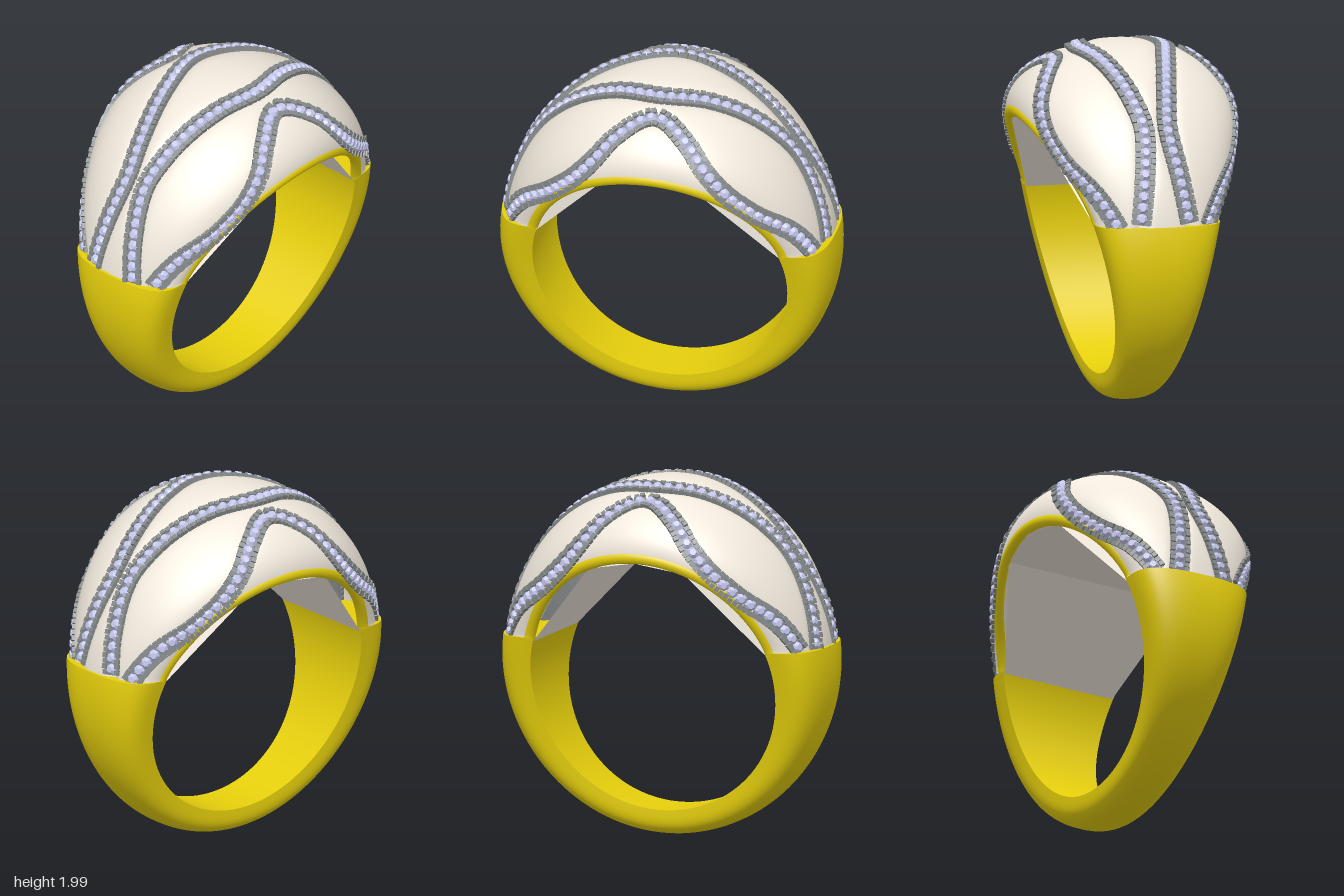
import * as THREE from 'three';
import { mergeGeometries } from 'three/addons/utils/BufferGeometryUtils.js';
import { ParametricGeometry } from 'three/addons/geometries/ParametricGeometry.js';

const { sin, cos, abs, sign, pow, max, PI } = Math;
const mat = (color, flatShading = false) =>
  new THREE.MeshStandardMaterial({ color, flatShading, side: THREE.DoubleSide });
const gold = mat(0xe6cf0c), enamel = mat(0xf0e8dc);
const metal = mat(0x868a8a, true), stone = mat(0xc6c8ee, true);

// Smooth function of u through [u, value] pairs, mirrored about u = 0
function evenCurve(pairs) {
  const all = [...pairs.slice(1).reverse().map(([u, v]) => [-u, v]), ...pairs];
  const f = new THREE.CubicInterpolant(all.map(p => p[0]), all.map(p => p[1]), 1, [0]);
  return u => f.evaluate(u)[0];
}
// Angle across the dome at which each gem line runs, for u from end to end
const innerLine = evenCurve([[0, 0.41], [0.2, 0.32], [0.49, 0.18], [0.62, 0.14], [0.82, 0.25], [1, 0.41]]);
const outerLine = evenCurve([[0, 0.7], [0.17, 0.95], [0.29, 1.22], [0.42, 1.4], [0.53, 1.46],
  [0.69, 1.4], [0.86, 1.08], [1, 0.82]]);

// Dome: u runs along the finger arch, t across it
const rimY = u => 0.88 + 0.755 * cos(u * 1.275);
const domeWidth = u => 0.35 + 0.25 * pow(max(0, (rimY(u) - 1.1) / 0.535), 1.2);
function domePoint(u, t, out = new THREE.Vector3()) {
  const b = u * 1.275, k = u * 1.426, c = cos(t);
  const bx = 0.755 * sin(b), by = rimY(u);
  return out.set(bx + (0.925 * sin(k) - bx) * c, by + (0.95 + 1.045 * cos(k) - by) * c, domeWidth(u) * sin(t));
}
function domeNormal(u, t) {
  const e = 0.004;
  const du = domePoint(u + e, t).sub(domePoint(u - e, t));
  const dt = domePoint(u, t + e).sub(domePoint(u, t - e));
  return dt.cross(du).normalize();
}

// Shank: v runs round the bottom, t across, k from inner face (0) to outer (1)
function shankPoint(v, t, k, out) {
  const a = v * 1.896, b = v * 1.731;
  const ix = 0.715 * sin(a), iy = 0.87 - 0.715 * cos(a);
  const ox = 0.94 * sin(b), oy = 0.95 - 0.94 * cos(b);
  const w = 0.15 + 0.2 * pow(max(0, ((iy + oy) / 2 - 0.07) / 1.03), 1.3);
  const c = pow(max(0, cos(t)), 0.55) * k, s = sign(t) * pow(abs(sin(t)), 0.8);
  return out.set(ix + (ox - ix) * c, iy + (oy - iy) * c, w * s);
}

// One row of stones set between two rows of small metal blocks
function gemLine(line, side) {
  const blocks = [], gems = [], pitch = 0.062;
  const prev = domePoint(-1, side * line(-1));
  const at = (list, geo, m, x, y, z) => list.push(geo.translate(x, y, z).applyMatrix4(m));
  let run = pitch / 2;
  for (let i = 1; i <= 1200; i++) {
    const u = -1 + i / 600, t = side * line(u), p = domePoint(u, t);
    const step = p.clone().sub(prev);
    run += step.length();
    prev.copy(p);
    if (run < pitch) continue;
    run -= pitch;
    const n = domeNormal(u, t);
    const across = step.clone().cross(n).normalize();
    const m = new THREE.Matrix4().makeBasis(across, n, n.clone().cross(across).negate().multiplyScalar(-1)).setPosition(p);
    // makeBasis columns: across, outward, along
    m.makeBasis(across, n, new THREE.Vector3().crossVectors(across, n)).setPosition(p);
    at(blocks, new THREE.BoxGeometry(0.095, 0.04, 0.066), m, 0, -0.022, 0);
    for (const s of [-1, 1]) {
      at(blocks, new THREE.BoxGeometry(0.026, 0.045, 0.026), m, s * 0.043, -0.009, 0.016);
      at(blocks, new THREE.BoxGeometry(0.03, 0.04, 0.026), m, s * 0.04, -0.011, -0.016);
    }
    at(gems, new THREE.CylinderGeometry(0.018, 0.034, 0.022, 7), m, 0, 0.008, 0);
  }
  return [mergeGeometries(blocks), mergeGeometries(gems)];
}

export function createModel() {
  const ring = new THREE.Group();
  ring.name = 'ring';
  const add = (name, geo, material, parent = ring) => {
    const mesh = new THREE.Mesh(geo, material);
    mesh.name = name;
    parent.add(mesh);
  };
  const surface = (fn, nu, nv) => new ParametricGeometry(fn, nu, nv);

  // Enamel dome, sunk along the gem lines so the panels look puffed
  add('enamelDome', surface((a, b, out) => {
    const u = a * 2 - 1, t = (b - 0.5) * PI, q = abs(t);
    const dip = f => Math.exp(-pow((q - f(u)) / 0.11, 2));
    domePoint(u, t, out);
    const sink = 0.028 * max(dip(innerLine), dip(outerLine)) * cos(t);
    out.x -= sink * sin(u * 1.35);
    out.y -= sink * cos(u * 1.35);
  }, 96, 96), enamel);

  // Faceted lining under the dome
  const arch = [[0.7, 1.06], [0.28, 1.54], [0, 1.59], [-0.28, 1.54], [-0.7, 1.06]];
  const halfWidth = [0.33, 0.54, 0.58, 0.54, 0.33];
  for (let i = 0; i < 4; i++) {
    add('domeLining', surface((a, b, out) => {
      const [p, q] = [arch[i], arch[i + 1]];
      const mix = (x, y) => x + (y - x) * a;
      out.set(mix(p[0], q[0]), mix(p[1], q[1]), (b * 2 - 1) * mix(halfWidth[i], halfWidth[i + 1]));
    }, 1, 1), enamel);
  }

  // Gold edging along both sides of the dome
  for (const side of [-1, 1]) {
    add('domeRim', surface((a, b, out) => {
      const u = a * 2 - 1, ang = u * 1.275, c = b * 2 * PI;
      const r = 0.742 + 0.034 * cos(c);
      out.set(r * sin(ang), 0.88 + r * cos(ang), side * (domeWidth(u) - 0.02 + 0.028 * sin(c)));
    }, 64, 12), gold);
  }

  // Tapering gold shank: outside, inside and the two top faces
  const shank = new THREE.Group();
  shank.name = 'shank';
  ring.add(shank);
  add('shankOuter', surface((a, b, out) => shankPoint(a * 2 - 1, (b - 0.5) * PI, 1, out), 80, 48), gold, shank);
  add('shankInner', surface((a, b, out) => shankPoint(a * 2 - 1, (b - 0.5) * PI, 0, out), 80, 4), gold, shank);
  for (const end of [-1, 1]) {
    add('shankTopFace', surface((a, b, out) => shankPoint(end, (b - 0.5) * PI, a, out), 1, 32), gold, shank);
  }

  // Four wavy gem lines
  for (const side of [-1, 1]) {
    for (const line of [innerLine, outerLine]) {
      const [blocks, gems] = gemLine(line, side);
      add('gemSetting', blocks, metal);
      add('gemStones', gems, stone);
    }
  }
  return ring;
}
